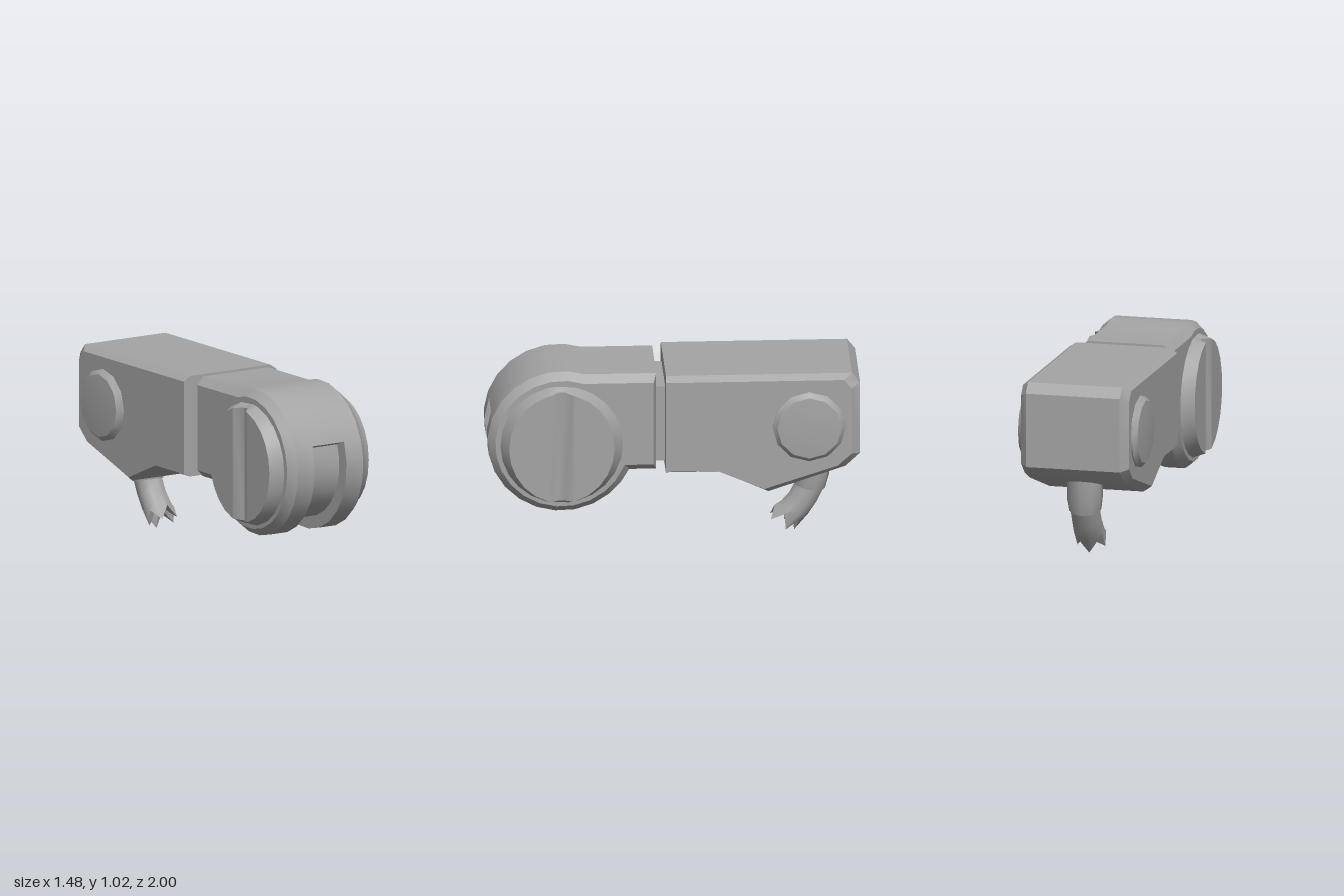
import * as THREE from 'three';
import { toCreasedNormals } from 'three/addons/utils/BufferGeometryUtils.js';

const V = (x, y, z) => new THREE.Vector3(x, y, z);
const deg = Math.PI / 180;

// Joins closed rings of equal length; optional end caps lie in the z-y plane.
function loft(rings, caps, crease) {
  const tris = [];
  const add = (a, b, c) => {
    if (b.clone().sub(a).cross(c.clone().sub(a)).length() > 1e-8) tris.push([a, b, c]);
  };
  const n = rings[0].length;
  for (let i = 0; i + 1 < rings.length; i++) {
    for (let j = 0; j < n; j++) {
      const k = (j + 1) % n;
      const [a, b, c, d] = [rings[i][j], rings[i][k], rings[i + 1][k], rings[i + 1][j]];
      add(b, a, d);
      add(b, d, c);
    }
  }
  if (caps) {
    const first = rings[0], last = rings[rings.length - 1];
    const cap = (r) => THREE.ShapeUtils.triangulateShape(r.map((p) => new THREE.Vector2(p.z, p.y)), []);
    cap(first).forEach(([a, b, c]) => add(first[a], first[b], first[c]));
    cap(last).forEach(([a, b, c]) => add(last[c], last[b], last[a]));
  }
  // Face outwards: flip everything if the enclosed volume is negative
  const volume = tris.reduce((s, [a, b, c]) => s + a.dot(b.clone().cross(c)), 0);
  if (volume < 0) tris.forEach((t) => t.reverse());
  const g = new THREE.BufferGeometry().setFromPoints(tris.flat());
  return toCreasedNormals(g, crease * deg);
}

// Drum with a short arm, outlined in z-y; the slot lowers part of the rim
const DRUM_Y = 0.63, DRUM_Z = 0.615, DRUM_R = 0.405;
function drumProfile(inset, slot) {
  const r = DRUM_R - inset, low = 0.46 + inset, high = 1.015 - inset, back = 0.1 + inset * 0.4;
  const pts = [[back, low]];
  const rim = (a, rad) => pts.push([DRUM_Z + rad * Math.cos(a), DRUM_Y + rad * Math.sin(a)]);
  const floor = r - slot;
  rim(-Math.PI + Math.asin((DRUM_Y - low) / r), r);
  rim(-143 * deg, r);
  rim(-130 * deg, r);
  for (let i = 0; i <= 10; i++) rim((-130 + 15 * i) * deg, floor);
  for (let a = 20; a <= 95; a += 15) rim(a * deg, r);
  rim(Math.PI - Math.asin((high - DRUM_Y) / r), r);
  pts.push([back, high]);
  return pts;
}

function drumGeometry() {
  const rings = [
    [-0.26, 0.04, 0], [-0.215, 0, 0], [-0.105, 0, 0], [-0.105, 0, 0.07],
    [0.105, 0, 0.07], [0.105, 0, 0], [0.215, 0, 0], [0.26, 0.04, 0],
  ];
  return loft(rings.map(([x, inset, slot]) =>
    drumProfile(inset, slot).map(([z, y]) => V(x, y, z))), true, 32);
}

// Rear housing with bevelled sides
function housingGeometry() {
  const outline = [
    [0.05, 0.455], [0.05, 1.015], [-0.965, 1.015], [-1.01, 0.96],
    [-1.01, 0.55], [-0.93, 0.475], [-0.51, 0.335], [-0.24, 0.455],
  ];
  const ring = (x, ky, kz) => outline.map(([z, y]) => V(x, 0.675 + (y - 0.675) * ky, 0.05 + (z - 0.05) * kz));
  return loft([ring(-0.305, 0.92, 0.955), ring(-0.265, 1, 1), ring(0.265, 1, 1), ring(0.305, 0.92, 0.955)], true, 25);
}

// Side hub: tapered disc with a vertical groove across its face
function hubGeometry(side) {
  const stations = [];
  for (let a = 0; a <= 75; a += 15) stations.push([-Math.cos(a * deg), 0.328]);
  stations.push([-0.2, 0.328], [-0.07, 0.29]);
  const all = [...stations, ...stations.map(([t, x]) => [-t, x]).reverse()];
  return loft(all.map(([t, x]) => {
    const h = Math.sqrt(Math.max(0, 1 - t * t));
    const zb = 0.617 + 0.342 * t, zf = 0.62 + 0.288 * t;
    return [
      V(side * 0.25, 0.625 - 0.342 * h, zb), V(side * x, 0.625 - 0.315 * h, zf),
      V(side * x, 0.625 + 0.315 * h, zf), V(side * 0.25, 0.625 + 0.342 * h, zb),
    ];
  }), false, 47);
}

// Bent stub with a collar on top and a jagged hollow end
function stubGeometry() {
  const sides = 10;
  const ring = (z, y, r, tilt, jag = 0) => Array.from({ length: sides }, (_, j) => {
    const a = (j / sides) * Math.PI * 2;
    const c = Math.cos(a) * r, e = j % 2 ? jag : -jag;
    return V(Math.sin(a) * r, y + c * Math.sin(tilt) - e * Math.cos(tilt), z + c * Math.cos(tilt) + e * Math.sin(tilt));
  });
  return loft([
    ring(-0.76, 0.45, 0, 0), ring(-0.76, 0.45, 0.098, 0), ring(-0.755, 0.34, 0.098, 0.1),
    ring(-0.745, 0.27, 0.088, 0.2), ring(-0.745, 0.27, 0.08, 0.2), ring(-0.71, 0.2, 0.08, 0.35),
    ring(-0.665, 0.14, 0.083, 0.5), ring(-0.61, 0.085, 0.083, 0.55, 0.035),
    ring(-0.625, 0.105, 0.05, 0.55, 0.02), ring(-0.67, 0.16, 0, 0.55),
  ], false, 40);
}

export function createModel() {
  const grey = new THREE.MeshStandardMaterial({ color: 0xa4a4a4 });
  grey.name = 'grey';
  const model = new THREE.Group();
  model.name = 'jointedArm';
  const add = (name, geometry) => {
    const mesh = new THREE.Mesh(geometry, grey);
    mesh.name = name;
    model.add(mesh);
    return mesh;
  };

  add('slottedDrum', drumGeometry());
  add('rearHousing', housingGeometry());
  add('neck', new THREE.BoxGeometry(0.4, 0.43, 0.12)).position.set(0, 0.715, 0.08);
  add('bentStub', stubGeometry());

  for (const side of [1, -1]) {
    const label = side > 0 ? 'left' : 'right';
    add(label + 'Hub', hubGeometry(side));
    // Shallow round cap on the housing side
    const profile = [[0.2, 0.28], [0.2, 0.312], [0.175, 0.338], [0, 0.352]];
    const cap = toCreasedNormals(
      new THREE.LatheGeometry(profile.map(([r, y]) => new THREE.Vector2(r, y)), 12), 35 * deg);
    const mesh = add(label + 'Cap', cap);
    mesh.rotation.z = -side * Math.PI / 2;
    mesh.position.set(0, 0.722, -0.73);
  }

  // The whole arm lies at an angle on the ground plane
  model.rotation.y = Math.PI / 6;
  const root = new THREE.Group();
  root.name = 'model';
  root.add(model);
  return root;
}
